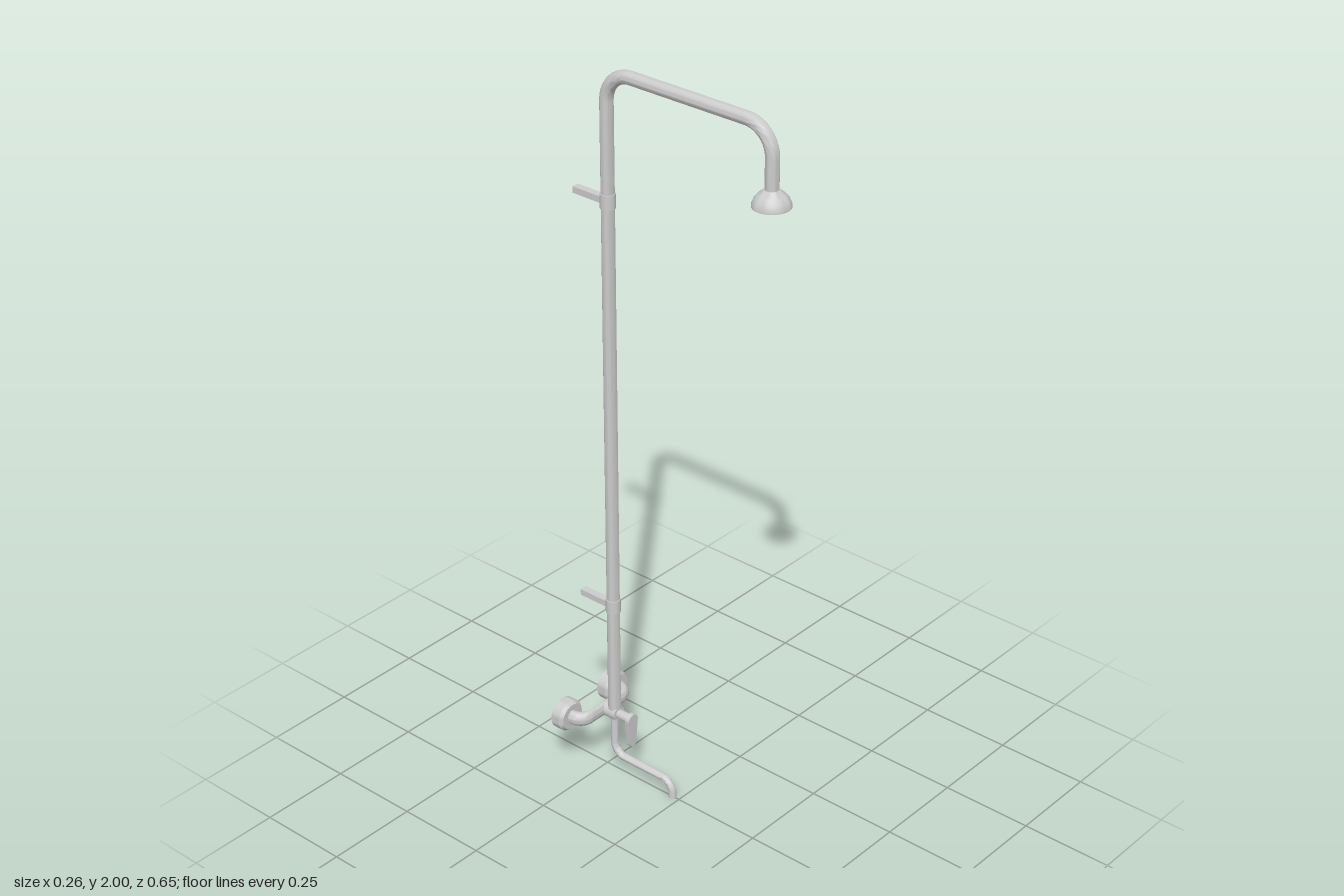
import * as THREE from 'three';
import { toCreasedNormals } from 'three/addons/utils/BufferGeometryUtils.js';

const material = new THREE.MeshStandardMaterial({ color: 0xcccccc });
const V = (x, y, z) => new THREE.Vector3(x, y, z);
const PIPE_Z = -0.222; // riser axis
const VALVE_Y = 0.178; // height of the mixer

// Pipe through corner points lying in one plane, with rounded corners.
// size(point, tangent) gives the half-widths [in plane, across plane].
function pipeGeometry(points, bend, planeNormal, size, sides = 20) {
  const path = [];
  const add = (p, t) => path.push({ p, t });
  const dir = (a, b) => b.clone().sub(a).normalize();
  const last = points.length - 1;
  add(points[0], dir(points[0], points[1]));
  for (let i = 1; i < last; i++) {
    const d0 = dir(points[i - 1], points[i]);
    const d1 = dir(points[i], points[i + 1]);
    for (let k = 0; k <= 10; k++) {
      const a = (k / 10) * Math.PI / 2;
      const p = points[i].clone()
        .addScaledVector(d0, bend * (Math.sin(a) - 1))
        .addScaledVector(d1, bend * (1 - Math.cos(a)));
      const t = d0.clone().multiplyScalar(Math.cos(a)).addScaledVector(d1, Math.sin(a));
      add(p, t.normalize());
    }
  }
  add(points[last], dir(points[last - 1], points[last]));

  // rings along the path, with a zero-sized ring closing each end
  const rows = [{ ...path[0], s: 0 }, ...path.map((r) => ({ ...r, s: 1 })), { ...path.at(-1), s: 0 }];
  const position = [], index = [];
  rows.forEach(({ p, t, s }, i) => {
    const n = planeNormal.clone().cross(t);
    const [w, h] = size(p, t);
    for (let j = 0; j < sides; j++) {
      const a = (j / sides) * Math.PI * 2;
      const q = p.clone().addScaledVector(n, s * w * Math.cos(a))
        .addScaledVector(planeNormal, s * h * Math.sin(a));
      position.push(q.x, q.y, q.z);
      if (i === rows.length - 1) continue;
      const a0 = i * sides + j, a1 = i * sides + (j + 1) % sides;
      index.push(a0, a1, a0 + sides, a1, a1 + sides, a0 + sides);
    }
  });
  const g = new THREE.BufferGeometry();
  g.setAttribute('position', new THREE.Float32BufferAttribute(position, 3));
  g.setIndex(index);
  return toCreasedNormals(g, 0.7);
}

// Turned part; profile rows are [radius, height]
function lathe(profile, segments = 32) {
  const pts = profile.map(([r, y]) => new THREE.Vector2(r, y));
  return toCreasedNormals(new THREE.LatheGeometry(pts, segments), 0.6);
}

export function createModel() {
  const root = new THREE.Group();
  const part = (name, geometry, x = 0, y = 0, z = 0, parent = root) => {
    const mesh = new THREE.Mesh(geometry, material);
    mesh.name = name;
    mesh.position.set(x, y, z);
    parent.add(mesh);
    return mesh;
  };

  // Riser with overhead arm
  part('riserPipe', pipeGeometry(
    [V(0, 0.19, PIPE_Z), V(0, 1.983, PIPE_Z), V(0, 1.983, 0.275), V(0, 1.82, 0.275)],
    0.075, V(1, 0, 0), () => [0.017, 0.017]));

  // Shower head
  part('showerHead', lathe([
    [0, 1.79], [0.047, 1.79], [0.047, 1.795], [0.042, 1.808],
    [0.034, 1.818], [0.024, 1.826], [0.019, 1.832], [0, 1.832],
  ]), 0, 0, 0.275);

  // Lower spout
  part('spout', pipeGeometry(
    [V(0, 0.2, PIPE_Z), V(0, 0.047, PIPE_Z), V(0, 0.047, -0.022), V(0, 0, -0.022)],
    0.036, V(1, 0, 0), () => [0.0105, 0.0105]));

  // Wall brackets: collar and arm
  for (const [name, y] of [['lowerBracket', 0.512], ['upperBracket', 1.652]]) {
    const bracket = new THREE.Group();
    bracket.name = name;
    bracket.position.set(0, y, PIPE_Z);
    root.add(bracket);
    part('collar', new THREE.CylinderGeometry(0.0195, 0.0195, 0.038, 24), 0, 0, 0, bracket);
    part('bracketArm', new THREE.BoxGeometry(0.02, 0.017, 0.092), 0, 0, -0.058, bracket);
  }

  // Mixer body: U-shaped pipe, flattened along its front run
  part('mixerPipe', pipeGeometry(
    [V(-0.09, VALVE_Y, -0.308), V(-0.09, VALVE_Y, -0.254), V(0.09, VALVE_Y, -0.254), V(0.09, VALVE_Y, -0.308)],
    0.034, V(0, 1, 0), (p, t) => [0.0105 + 0.0065 * Math.abs(t.z), 0.02]));

  // Wall flanges, hollow at the back
  for (const side of [-1, 1]) {
    const flange = lathe([
      [0.015, -0.303], [0.034, -0.303], [0.034, -0.326], [0.043, -0.326],
      [0.043, -0.299], [0.036, -0.29], [0.015, -0.29],
    ]);
    flange.rotateX(Math.PI / 2);
    part(side > 0 ? 'leftFlange' : 'rightFlange', flange, side * 0.089, VALVE_Y, 0);
  }

  // Central hub and handle stem
  part('mixerHub', new THREE.CylinderGeometry(0.02, 0.02, 0.045, 24).rotateX(Math.PI / 2),
    0, VALVE_Y, -0.229);
  part('handleStem', new THREE.CylinderGeometry(0.013, 0.013, 0.045, 20).rotateX(Math.PI / 2),
    0, VALVE_Y, -0.188);

  // Lever handle: tapered plate with rounded ends
  const lever = new THREE.Shape();
  lever.absarc(0, 0, 0.018, 0, Math.PI);
  lever.lineTo(-0.011, -0.07);
  lever.absarc(0, -0.07, 0.011, Math.PI, Math.PI * 2);
  lever.closePath();
  part('leverHandle', new THREE.ExtrudeGeometry(lever, { depth: 0.013, bevelEnabled: false, curveSegments: 14 }),
    0, VALVE_Y, -0.17);

  return root;
}
